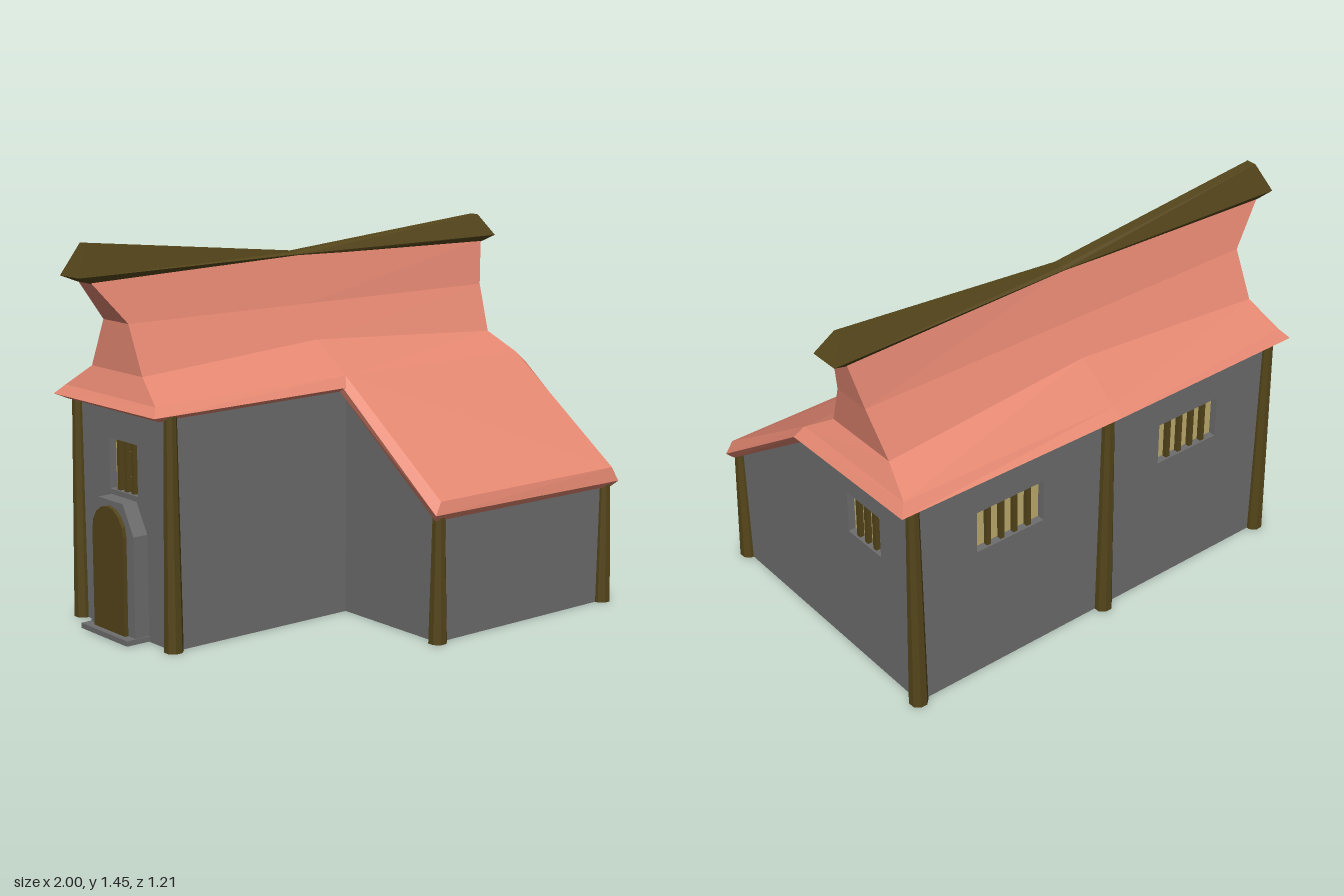
import * as THREE from 'three';

const mat = (color) => new THREE.MeshStandardMaterial({ color, flatShading: true, side: THREE.DoubleSide });
const STONE = mat(0x6e6e6e), TILE = mat(0xe58872), WOOD = mat(0x54451a), PANE = mat(0xc0ad70);
const RIDGE_Z = -0.25;

export function createModel() {
  const model = new THREE.Group();

  const add = (name, geometry, material, x = 0, y = 0, z = 0, parent = model) => {
    const mesh = new THREE.Mesh(geometry, material);
    mesh.name = name;
    mesh.position.set(x, y, z);
    parent.add(mesh);
    return mesh;
  };

  // Skin closed cross-sections and cap both ends by pairing opposite points
  const loft = (sections) => {
    const pos = [];
    const quad = (a, b, c, d) => pos.push(...a, ...b, ...c, ...a, ...c, ...d);
    const n = sections[0].length;
    for (let i = 0; i + 1 < sections.length; i++) {
      for (let j = 0; j < n; j++) {
        const k = (j + 1) % n;
        quad(sections[i][j], sections[i + 1][j], sections[i + 1][k], sections[i][k]);
      }
    }
    const s = sections[0], e = sections[sections.length - 1];
    for (let j = 0; j + 1 < n / 2; j++) {
      quad(e[j], e[n - 1 - j], e[n - 2 - j], e[j + 1]);
      quad(s[j + 1], s[n - 2 - j], s[n - 1 - j], s[j]);
    }
    const g = new THREE.BufferGeometry();
    g.setAttribute('position', new THREE.Float32BufferAttribute(pos, 3));
    g.computeVertexNormals();
    return g;
  };

  const outline = (pts) => pts.map(([x, y]) => new THREE.Vector2(x, y));
  const rect = ([x0, x1, y0, y1]) => [[x0, y0], [x1, y0], [x1, y1], [x0, y1]];
  const panel = (pts, depth, holes = []) => {
    const shape = new THREE.Shape(outline(pts));
    holes.forEach((h) => shape.holes.push(new THREE.Path(outline(rect(h).reverse()))));
    return new THREE.ExtrudeGeometry(shape, { depth, bevelEnabled: false });
  };
  // Panel drawn in (z, y), extruded towards -x
  const sidePanel = (...args) => panel(...args).rotateY(-Math.PI / 2);

  // Walls, with openings for the windows
  const T = 0.04, X0 = -0.79, X1 = 0.87, XW = 0.01, Z0 = -0.54, Z1 = 0.05, Z2 = 0.57;
  const rightWin = [-0.34, -0.145, 0.53, 0.7], leftWin = [-0.34, -0.16, 0.53, 0.72];
  const backWins = [[0.3, 0.6, 0.54, 0.71], [-0.54, -0.25, 0.54, 0.71]];
  add('rightWall', sidePanel([[Z0, 0], [Z2, 0], [Z2, 0.48], [0.04, 0.86], [Z0, 0.86]], T, [rightWin]), STONE, X1);
  add('leftWall', sidePanel(rect([Z0, Z1, 0, 0.86]), T, [leftWin]), STONE, X0 + T);
  add('wingLeftWall', sidePanel([[Z1, 0], [Z2, 0], [Z2, 0.48], [Z1, 0.86]], T), STONE, XW + T);
  add('backWall', panel(rect([X0, X1, 0, 0.86]), T, backWins), STONE, 0, 0, Z0);
  add('frontWall', panel(rect([X0, XW + T, 0, 0.86]), T), STONE, 0, 0, Z1 - T);
  add('wingFrontWall', panel(rect([XW, X1, 0, 0.48]), T), STONE, 0, 0, Z2 - T);
  add('floor', panel([[X0, -Z0], [X0, -Z1], [XW, -Z1], [XW, -Z2], [X1, -Z2], [X1, -Z0]], 0.01)
    .rotateX(-Math.PI / 2), STONE, 0, 0.005, 0);

  // Window panes and bars, set back inside the openings
  const addWindow = (name, [a, b, c, d], bars, x, z, turn) => {
    const g = new THREE.Group();
    g.name = name;
    const w = b - a, h = d - c;
    add('pane', new THREE.BoxGeometry(w + 0.02, h + 0.02, 0.01), PANE, 0, 0, -0.035, g);
    for (let i = 1; i <= bars; i++) {
      add('bar', new THREE.BoxGeometry(0.018, h, 0.018), WOOD, -w / 2 + (w * i) / (bars + 1), 0, -0.018, g);
    }
    g.position.set(x, (c + d) / 2, z);
    g.rotation.y = turn;
    model.add(g);
  };
  const mid = (w) => (w[0] + w[1]) / 2;
  addWindow('rightWindow', rightWin, 3, X1, mid(rightWin), Math.PI / 2);
  addWindow('leftWindow', leftWin, 3, X0, mid(leftWin), -Math.PI / 2);
  backWins.forEach((w) => addWindow('backWindow', w, 4, mid(w), Z0, Math.PI));

  // Corner posts
  const posts = [[X0, Z1, 0.86], [X0, Z0, 0.86], [XW, -0.548, 0.87], [X1, -0.537, 0.86], [XW, Z2, 0.48], [0.868, Z2, 0.48]];
  posts.forEach(([x, z, h]) =>
    add('post', new THREE.CylinderGeometry(0.024, 0.036, h, 8).rotateY(Math.PI / 8), WOOD, x, h / 2, z));

  // Door with its stone surround and step
  const arch = (r, top) => {
    const pts = [[r, 0]];
    for (let i = 0; i <= 8; i++) pts.push([r * Math.cos((i * Math.PI) / 8), top - r * (1 - Math.sin((i * Math.PI) / 8))]);
    pts.push([-r, 0]);
    return pts;
  };
  const surround = [[-0.145, 0], [0.145, 0], [0.145, 0.4], [0.08, 0.51], [-0.08, 0.51], [-0.145, 0.4]];
  add('doorSurround', sidePanel(surround, 0.06), STONE, X0, 0, RIDGE_Z);
  add('door', sidePanel(arch(0.1, 0.49), 0.03), WOOD, -0.835, 0, RIDGE_Z);
  add('doorStep', new THREE.BoxGeometry(0.1, 0.02, 0.3), STONE, -0.84, 0.012, RIDGE_Z);

  // Main roof: left, middle and right sections, front eave over the ridge to the back eave
  const roofSection = (front, back) => {
    const upper = front.slice(3).map(([x, y, z]) => [x, y, 2 * RIDGE_Z - z]);
    return [...front, ...upper.reverse(), ...back];
  };
  add('mainRoof', loft([
    roofSection(
      [[-0.83, 0.84, 0.04], [-0.875, 0.862, 0.075], [-0.845, 0.895, 0.04], [-0.81, 0.98, -0.088], [-0.81, 1.16, -0.17], [-0.94, 1.315, -0.21]],
      [[-0.845, 0.895, -0.54], [-0.875, 0.86, -0.575], [-0.83, 0.84, -0.55]]),
    roofSection(
      [[0, 0.855, 0.05], [0, 0.875, 0.09], [0, 0.915, 0.06], [0, 1.03, -0.11], [0, 1.16, -0.17], [0, 1.34, -0.22]],
      [[0, 0.91, -0.56], [0, 0.885, -0.608], [0, 0.855, -0.57]]),
    roofSection(
      [[0.9, 0.84, 0.03], [0.95, 0.865, 0.05], [0.915, 0.905, 0.03], [0.87, 0.98, -0.088], [0.9, 1.16, -0.17], [0.94, 1.335, -0.21]],
      [[0.91, 0.905, -0.545], [0.94, 0.863, -0.575], [0.9, 0.84, -0.55]]),
  ]), TILE);

  // Lean-to roof over the wing
  add('wingRoof', loft([
    [[-0.02, 0.855, 0.05], [-0.03, 0.875, 0.08], [0, 0.915, 0.06], [0.915, 0.905, 0.03], [0.95, 0.865, 0.05], [0.9, 0.84, 0.03]],
    [[-0.02, 0.46, 0.585], [-0.035, 0.485, 0.605], [0, 0.53, 0.592], [0.89, 0.53, 0.588], [0.915, 0.475, 0.6], [0.89, 0.455, 0.585]],
  ]), TILE);

  // Ridge beam, deep at both ends and thin in the middle
  const beamSection = (pts) => {
    const side = (s) => pts.map(([x, y, w]) => [x, y, RIDGE_Z + s * w]);
    return [...side(1), ...side(-1).reverse()];
  };
  add('ridgeBeam', loft([
    beamSection([[-0.94, 1.31, 0.04], [-1, 1.335, 0.06], [-0.94, 1.45, 0.02]]),
    beamSection([[0, 1.33, 0.026], [0, 1.343, 0.032], [0, 1.353, 0.02]]),
    beamSection([[0.94, 1.325, 0.04], [1, 1.35, 0.06], [0.94, 1.435, 0.02]]),
  ]), WOOD);

  return model;
}
